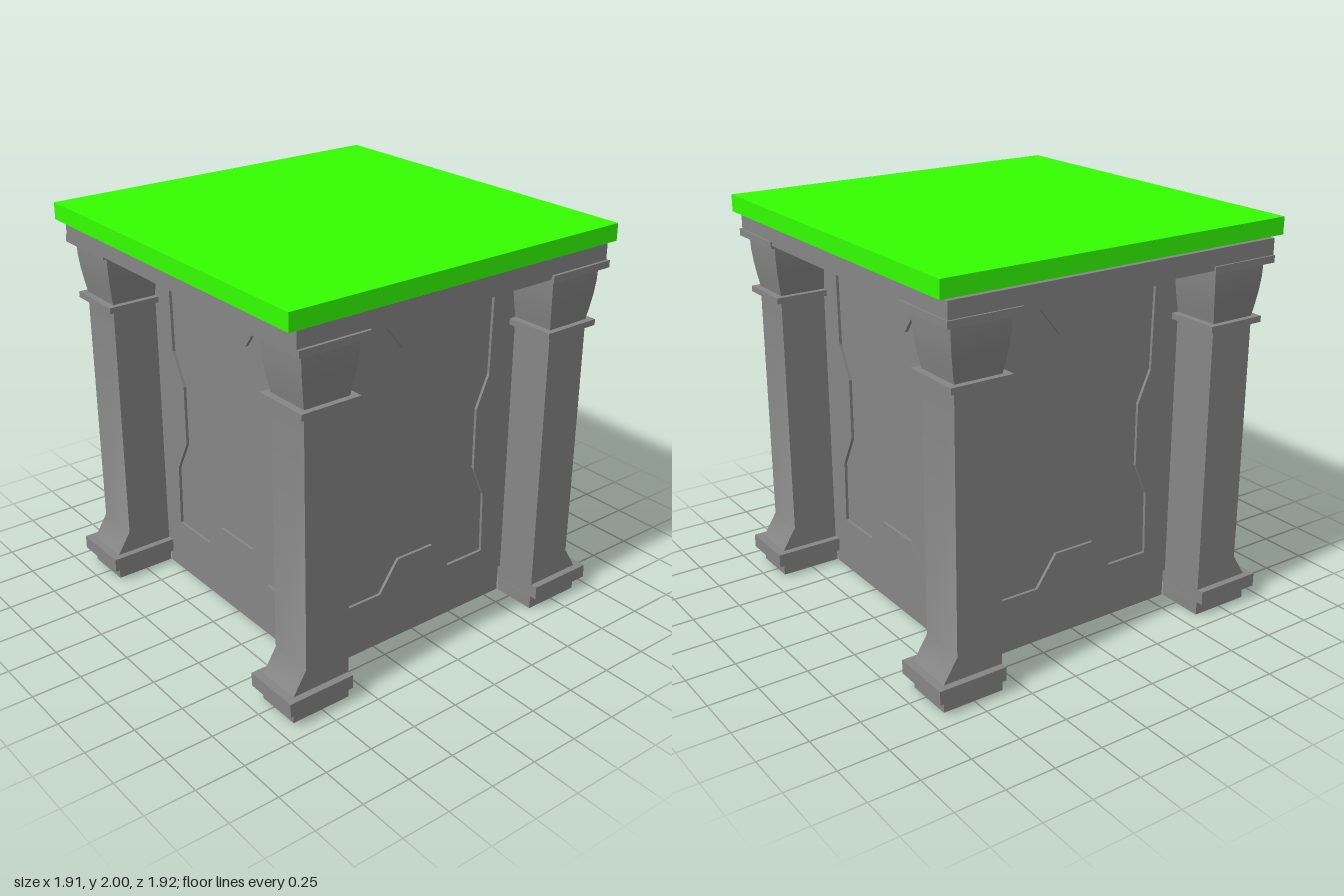
import * as THREE from 'three';
import { toCreasedNormals } from 'three/addons/utils/BufferGeometryUtils.js';

const grey = new THREE.MeshStandardMaterial({ color: 0x868686 });
const green = new THREE.MeshStandardMaterial({ color: 0x34ff00 });
const CREASE = Math.PI / 4;

// Box given by its limits on each axis
function block(name, [x0, x1], [y0, y1], [z0, z1], material = grey) {
  const mesh = new THREE.Mesh(new THREE.BoxGeometry(x1 - x0, y1 - y0, z1 - z0), material);
  mesh.position.set((x0 + x1) / 2, (y0 + y1) / 2, (z0 + z1) / 2);
  mesh.name = name;
  return mesh;
}

// Notched panel outline, mirrored from its right-hand points
function panelOutline(p) {
  const right = [
    [p.notchIn, p.bottomNotch], [p.notchOut, 0.29], [p.half, 0.29], [p.half - 0.008, 0.62],
    [p.waist, 0.785], [p.waist, 1.105], [p.half - 0.008, 1.27], [p.half, 1.68],
    [p.notchOut, 1.68], [p.notchIn, p.topNotch],
  ];
  const left = right.map(([x, y]) => [-x, y]).reverse();
  return [...right, ...left].map(([x, y]) => new THREE.Vector2(x, y));
}

// Wall sheet with a panel-shaped opening, facing +z
const SHEET = 0.015;
function wallSheet(halfWidth, panel) {
  const shape = new THREE.Shape([
    new THREE.Vector2(-halfWidth, 0.145), new THREE.Vector2(halfWidth, 0.145),
    new THREE.Vector2(halfWidth, 1.82), new THREE.Vector2(-halfWidth, 1.82),
  ]);
  shape.holes.push(new THREE.Path(panelOutline(panel).reverse()));
  return new THREE.ExtrudeGeometry(shape, { depth: SHEET, bevelEnabled: false });
}

// Capital: a box whose sides swell upwards in a soft curve
function capital(xr, zr) {
  const geometry = new THREE.BoxGeometry(xr[1] - xr[0], 0.26, zr[1] - zr[0], 1, 4, 1);
  const pos = geometry.attributes.position;
  for (let i = 0; i < pos.count; i++) {
    const t = pos.getY(i) / 0.26 + 0.5;
    const grow = Math.sin(t * Math.PI / 2);
    pos.setX(i, pos.getX(i) + Math.sign(pos.getX(i)) * 0.031 * grow);
    pos.setZ(i, pos.getZ(i) + Math.sign(pos.getZ(i)) * 0.026 * grow);
  }
  const mesh = new THREE.Mesh(toCreasedNormals(geometry, CREASE), grey);
  mesh.position.set((xr[0] + xr[1]) / 2, 1.66, (zr[0] + zr[1]) / 2);
  mesh.name = 'capital';
  return mesh;
}

// Corner column; side is the sign of x, zr the depth range of the shaft
function column(name, side, zr) {
  const g = new THREE.Group();
  g.name = name;
  const xr = (a, b) => (side > 0 ? [a, b] : [-b, -a]);
  const pad = (a) => [zr[0] - a, zr[1] + a];

  // Shaft flares outwards at its foot, shaded softly into the straight part
  const profile = [[0.597, 0.14], [0.91, 0.14], [0.838, 0.255], [0.838, 1.53], [0.597, 1.53]]
    .map(([x, y]) => new THREE.Vector2(side * x, y));
  const shaft = new THREE.Mesh(toCreasedNormals(
    new THREE.ExtrudeGeometry(new THREE.Shape(profile), { depth: zr[1] - zr[0], bevelEnabled: false }),
    CREASE), grey);
  shaft.position.z = zr[0];
  shaft.name = 'shaft';

  g.add(
    block('foot', xr(0.595, 0.912), [0, 0.07], zr),
    block('footSlab', xr(0.597, 0.952), [0.07, 0.14], pad(0.035)),
    shaft,
    block('neckBand', xr(0.56, 0.873), [1.5, 1.53], pad(0.03)),
    capital(xr(0.597, 0.838), zr),
    block('capitalSlab', xr(0.532, 0.905), [1.79, 1.825], pad(0.06)),
  );
  return g;
}

export function createModel() {
  const group = new THREE.Group();

  // Body: slightly set-back base, core and four panelled walls
  const W = 0.6, B = -0.655, F = 0.672, mid = (B + F) / 2, D = (F - B) / 2;
  group.add(
    block('bodyBase', [-W + 0.008, W - 0.008], [0, 0.15], [B + 0.01, F - 0.01]),
    block('bodyCore', [-W + SHEET, W - SHEET], [0.1, 1.82], [B + SHEET, F - SHEET]),
  );
  const frontPanel = { half: 0.45, waist: 0.37, notchOut: 0.22, notchIn: 0.11, topNotch: 1.545, bottomNotch: 0.447 };
  const sidePanel = { half: 0.525, waist: 0.43, notchOut: 0.26, notchIn: 0.13, topNotch: 1.505, bottomNotch: 0.432 };
  const frontSheet = wallSheet(W, frontPanel), sideSheet = wallSheet(D, sidePanel);
  ['frontWall', 'leftWall', 'backWall', 'rightWall'].forEach((name, i) => {
    const isSide = i % 2 === 1;
    const wall = new THREE.Group();
    const sheet = new THREE.Mesh(isSide ? sideSheet : frontSheet, grey);
    sheet.position.z = (isSide ? W : D) - SHEET;
    wall.add(sheet);
    wall.position.z = mid;
    wall.rotation.y = i * Math.PI / 2;
    wall.name = name;
    group.add(wall);
  });

  // Columns at the four corners
  for (const [label, side] of [['Left', 1], ['Right', -1]]) {
    group.add(
      column('front' + label + 'Column', side, [0.667, 0.898]),
      column('back' + label + 'Column', side, [-0.9, -0.65]),
    );
  }

  // Top frame and coloured tabletop
  group.add(
    block('topFrame', [-0.905, 0.897], [1.805, 1.905], [-0.95, 0.943]),
    block('tabletop', [-0.957, 0.934], [1.915, 2], [-0.953, 0.963], green),
  );
  return group;
}
